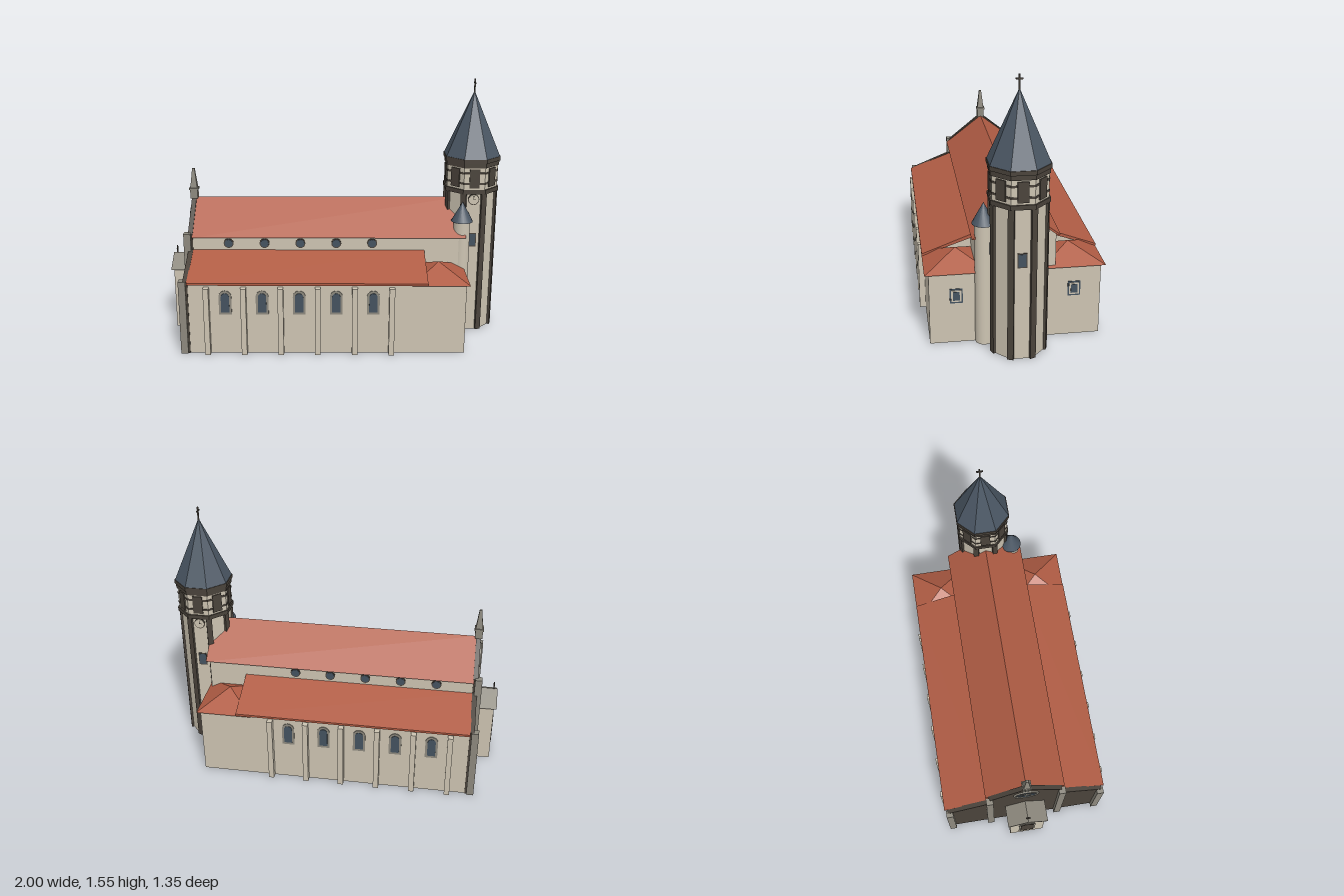
import * as THREE from 'three';

const paint = (name, color) => {
  const m = new THREE.MeshStandardMaterial({ color });
  m.name = name;
  return m;
};

export function createModel() {
  const cream = paint('cream plaster', 0xcdc4b2);
  const red = paint('red tile', 0xb05c44);
  const slate = paint('slate', 0x4a5663);
  const brown = paint('dark brown stone', 0x4a433b);
  const grey = paint('grey stone', 0x8d897e);
  const glass = paint('window glass', 0x44525f);

  // The church is built along local x (tower at +x) and then turned.
  const church = new THREE.Group();
  church.name = 'church';

  const add = (name, geo, mat, x = 0, y = 0, z = 0, ry = 0, parent = church) => {
    const m = new THREE.Mesh(geo, mat);
    m.name = name;
    m.position.set(x, y, z);
    m.rotation.y = ry;
    parent.add(m);
    return m;
  };
  const flat = (geo) => {
    const g = geo.toNonIndexed();
    g.computeVertexNormals();
    return g;
  };
  // box standing on y
  const box = (w, h, d) => new THREE.BoxGeometry(w, h, d).translate(0, h / 2, 0);
  // eight-sided prism standing on y, with a face towards +x
  const oct = (rTop, rBottom, h) =>
    flat(new THREE.CylinderGeometry(rTop, rBottom, h, 8).rotateY(Math.PI / 8).translate(0, h / 2, 0));
  // (z, y) profile extruded from x0 to x1
  const prism = (pts, x0, x1) => {
    const s = new THREE.Shape(pts.map(([z, y]) => new THREE.Vector2(-z, y)));
    return new THREE.ExtrudeGeometry(s, { depth: x1 - x0, bevelEnabled: false })
      .rotateY(Math.PI / 2).translate(x0, 0, 0);
  };
  const symmetric = (half) => [...half, ...half.filter(([z]) => z > 0).reverse().map(([z, y]) => [-z, y])];
  // round-headed plate facing +z, standing on y
  const arch = (w, h, d) => {
    const s = new THREE.Shape();
    s.moveTo(-w / 2, 0).lineTo(w / 2, 0).lineTo(w / 2, h - w / 2);
    s.absarc(0, h - w / 2, w / 2, 0, Math.PI, false);
    s.closePath();
    return new THREE.ExtrudeGeometry(s, { depth: d, bevelEnabled: false, curveSegments: 6 });
  };
  const disc = (r, d, n = 16) => new THREE.CylinderGeometry(r, r, d, n).rotateX(Math.PI / 2);

  // Nave and aisles
  add('naveWalls', prism(symmetric([[0.48, 0], [0.48, 0.43], [0.222, 0.53], [0.222, 0.635], [0, 0.8]]), -0.84, 0.54), cream);
  add('choirWalls', prism(symmetric([[0.222, 0], [0.222, 0.635], [0, 0.8]]), 0.54, 0.775), cream);
  add('naveRoof', prism([[0.243, 0.632], [0, 0.82], [-0.243, 0.632], [-0.225, 0.632], [0, 0.8], [0.225, 0.632]], -0.842, 0.795), red);

  for (const s of [1, -1]) {
    const turn = s > 0 ? 0 : Math.PI;
    add('aisleRoof', prism([[s * 0.503, 0.433], [s * 0.503, 0.446], [s * 0.22, 0.552], [s * 0.22, 0.53]], -0.842, 0.55), red);

    // Buttresses, and the windows between them
    for (let k = 0; k < 6; k++) {
      const x = -0.731 + 0.215 * k;
      add('buttress', box(0.032, 0.415, 0.04), cream, x, 0, s * 0.495);
      if (k === 5) continue;
      const xw = x + 0.1075;
      add('windowFrame', arch(0.074, 0.148, 0.006), grey, xw, 0.245, s * 0.479, turn);
      add('windowGlass', arch(0.048, 0.118, 0.003), glass, xw, 0.26, s * 0.485, turn);
      add('roundFrame', disc(0.03, 0.006), brown, xw, 0.594, s * 0.224);
      add('roundGlass', disc(0.024, 0.004), glass, xw, 0.594, s * 0.228);
    }

    // Side chapel with pyramid roof
    add('chapelWalls', box(0.235, 0.432, 0.34), cream, 0.6575, 0, s * 0.31);
    const pyramid = new THREE.ConeGeometry(Math.SQRT1_2, 1, 4).rotateY(Math.PI / 4);
    add('chapelRoof', flat(pyramid.scale(0.336, 0.085, 0.366).translate(0, 0.0425, 0)), red, 0.626, 0.43, s * 0.32);
    [[0.072, 0.088, glass], [0.056, 0.07, cream], [0.038, 0.052, glass]].forEach(([w, h, mat], i) =>
      add('chapelWindow', new THREE.BoxGeometry(0.004, h, w), mat, 0.776 + i * 0.002, 0.29, s * 0.33));

    // Facade piers
    for (const [z, h] of [[0.473, 0.45], [0.221, 0.655]]) {
      add('facadePier', box(0.042, h, 0.042), grey, -0.87, 0, s * z);
    }
  }

  // Facade
  add('facade', prism(symmetric([[0.485, 0], [0.485, 0.45], [0.225, 0.555], [0.225, 0.65], [0, 0.832]]), -0.866, -0.838), brown);
  add('pinnacleBase', box(0.045, 0.055, 0.045), grey, -0.852, 0.815, 0);
  add('pinnacleCap', box(0.055, 0.012, 0.055), grey, -0.852, 0.868, 0);
  add('pinnacleSpire', flat(new THREE.CylinderGeometry(0.01, 0.03, 0.12, 4).rotateY(Math.PI / 4)), grey, -0.852, 0.94, 0);

  // Rose window
  const rose = new THREE.Group();
  rose.name = 'roseWindow';
  rose.position.set(-0.868, 0.69, 0);
  rose.rotation.y = -Math.PI / 2;
  church.add(rose);
  add('roseGlass', disc(0.07, 0.004, 24), glass, 0, 0, 0, 0, rose);
  add('roseRing', new THREE.TorusGeometry(0.07, 0.008, 6, 24), grey, 0, 0, 0, 0, rose);
  add('roseHub', disc(0.018, 0.01), grey, 0, 0, 0, 0, rose);
  for (let i = 0; i < 4; i++) {
    add('roseSpoke', new THREE.BoxGeometry(0.14, 0.006, 0.008), grey, 0, 0, 0, 0, rose).rotation.z = i * Math.PI / 4;
  }

  // Porch
  add('porchWalls', prism(symmetric([[0.108, 0], [0.108, 0.385], [0, 0.44]]), -0.982, -0.86), cream);
  add('porchRoof', prism([[0.125, 0.382], [0, 0.455], [-0.125, 0.382], [-0.108, 0.38], [0, 0.44], [0.108, 0.38]], -0.998, -0.86), grey);
  add('porchDoorFrame', arch(0.105, 0.23, 0.004), grey, -0.981, 0.08, 0, -Math.PI / 2);
  add('porchDoor', arch(0.082, 0.215, 0.004), brown, -0.984, 0.08, 0, -Math.PI / 2);
  add('porchCrossPost', box(0.007, 0.055, 0.007), brown, -0.975, 0.445, 0);
  add('porchCrossArm', box(0.007, 0.007, 0.028), brown, -0.975, 0.478, 0);

  // Tower
  const tower = new THREE.Group();
  tower.name = 'tower';
  tower.position.set(0.845, 0, 0);
  church.add(tower);
  const part = (name, geo, mat, x, y, z, ry) => add(name, geo, mat, x, y, z, ry, tower);
  part('towerShaft', oct(0.157, 0.157, 0.89), cream);
  part('belfryWalls', oct(0.163, 0.163, 0.16), cream, 0, 0.9, 0);
  [[0.172, 0.88, 0.026], [0.166, 0.937, 0.012], [0.166, 1.0, 0.012], [0.17, 1.04, 0.03], [0.177, 1.068, 0.024]]
    .forEach(([r, y, h]) => part('towerBand', oct(r, r, h), brown, 0, y, 0));
  part('towerRoof', oct(0.001, 0.174, 0.385), slate, 0, 1.09, 0);
  part('crossPost', box(0.008, 0.085, 0.008), brown, 0, 1.462, 0);
  part('crossArm', box(0.008, 0.008, 0.038), brown, 0, 1.52, 0);
  for (let i = 0; i < 8; i++) {
    const corner = (i + 0.5) * Math.PI / 4;
    const face = i * Math.PI / 4;
    part('cornerStrip', box(0.022, 0.885, 0.034), brown, 0.153 * Math.cos(corner), 0, 0.153 * Math.sin(corner), -corner);
    part('belfryOpening', box(0.008, 0.114, 0.06), brown, 0.154 * Math.cos(face), 0.918, 0.154 * Math.sin(face), -face);
    if (i % 2 === 0) {
      part('towerWindowFrame', box(0.004, 0.084, 0.052), brown, 0.146 * Math.cos(face), 0.548, 0.146 * Math.sin(face), -face);
      part('towerWindow', box(0.004, 0.072, 0.042), glass, 0.148 * Math.cos(face), 0.554, 0.148 * Math.sin(face), -face);
    }
  }
  // Clocks on the two long sides
  for (const s of [1, -1]) {
    part('clockRim', disc(0.034, 0.006, 20), brown, 0, 0.845, s * 0.147);
    part('clockFace', disc(0.029, 0.006, 20), cream, 0, 0.845, s * 0.149);
    part('clockMinuteHand', box(0.004, 0.022, 0.003), brown, 0, 0.845, s * 0.153);
    part('clockHourHand', box(0.014, 0.004, 0.003), brown, 0.005 * s, 0.843, s * 0.153);
  }

  // Stair turret
  add('turretShaft', new THREE.CylinderGeometry(0.05, 0.05, 0.73, 20), cream, 0.776, 0.365, 0.177);
  add('turretRoof', new THREE.ConeGeometry(0.065, 0.12, 20), slate, 0.776, 0.78, 0.177);

  church.rotation.y = -THREE.MathUtils.degToRad(13);
  church.position.set(-0.002, 0, 0.008);
  const model = new THREE.Group();
  model.name = 'model';
  model.add(church);
  return model;
}
